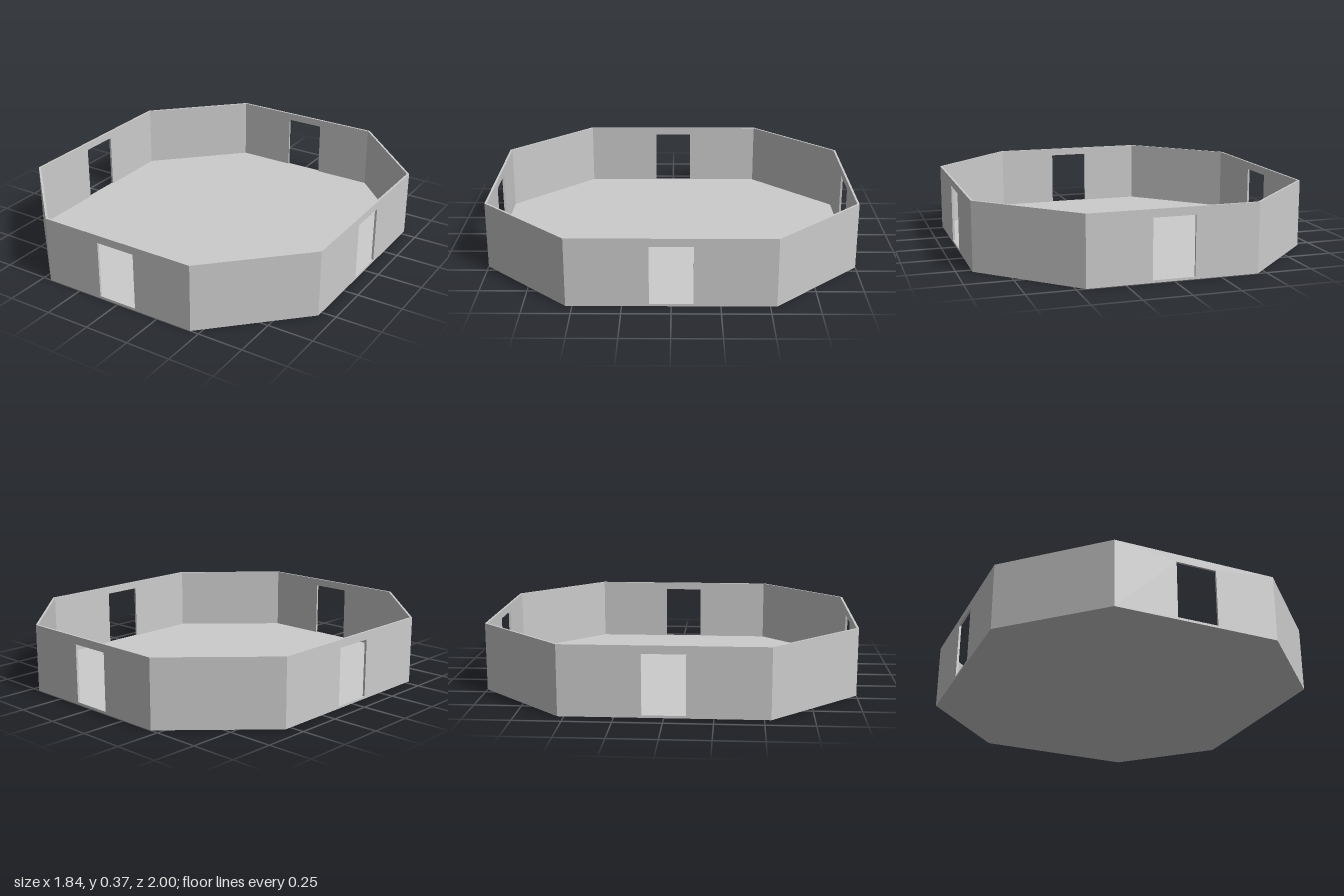
import * as THREE from 'three';

const HEIGHT = 0.37, THICK = 0.012, FLOOR = 0.013;
const HALF_X = 0.918, HALF_Z = 1, CORNER_X = 0.452, CORNER_Z = 0.534;
const DOOR_HALF = 0.112, DOOR_TOP = 0.327;
const MITRE = THICK * Math.tan(Math.PI / 8);

const material = new THREE.MeshStandardMaterial({ color: 0xcccccc, flatShading: true });

// Flat wall panel, outer face at z = 0, ends mitred to meet the neighbouring walls
function wallGeometry(length, hasDoor) {
  const h = length / 2;
  const shape = new THREE.Shape([[-h, 0], [h, 0], [h, HEIGHT], [-h, HEIGHT]].map(p => new THREE.Vector2(...p)));
  if (hasDoor) {
    const d = DOOR_HALF;
    shape.holes.push(new THREE.Path(
      [[-d, FLOOR], [-d, DOOR_TOP], [d, DOOR_TOP], [d, FLOOR]].map(p => new THREE.Vector2(...p))));
  }
  const geo = new THREE.ExtrudeGeometry(shape, { depth: THICK, bevelEnabled: false });
  geo.translate(0, 0, -THICK);
  const pos = geo.attributes.position;
  for (let i = 0; i < pos.count; i++) {
    const x = pos.getX(i);
    if (pos.getZ(i) < -THICK / 2 && Math.abs(x) > h - 1e-4) pos.setX(i, x - Math.sign(x) * MITRE);
  }
  geo.computeVertexNormals();
  return geo;
}

export function createModel() {
  const model = new THREE.Group();
  model.name = 'octagonalRoom';

  // Outline corners, (x, z), running from the front wall round by the left
  const corners = [
    [-CORNER_X, HALF_Z], [CORNER_X, HALF_Z], [HALF_X, CORNER_Z], [HALF_X, -CORNER_Z],
    [CORNER_X, -HALF_Z], [-CORNER_X, -HALF_Z], [-HALF_X, -CORNER_Z], [-HALF_X, CORNER_Z],
  ];
  const names = ['frontDoorWall', 'frontLeftWall', 'leftDoorWall', 'backLeftWall',
    'backDoorWall', 'backRightWall', 'rightDoorWall', 'frontRightWall'];

  // Walls, every second one with a doorway
  names.forEach((name, i) => {
    const [ax, az] = corners[i], [bx, bz] = corners[(i + 1) % 8];
    const wall = new THREE.Mesh(wallGeometry(Math.hypot(bx - ax, bz - az), i % 2 === 0), material);
    wall.name = name;
    wall.position.set((ax + bx) / 2, 0, (az + bz) / 2);
    wall.rotation.y = Math.atan2(az - bz, bx - ax);
    model.add(wall);
  });

  // Floor slab fitted inside the walls
  const inset = corners.map(([x, z]) => {
    const onFront = Math.abs(z) === HALF_Z;
    return new THREE.Vector2(
      x - Math.sign(x) * (onFront ? MITRE : THICK),
      -(z - Math.sign(z) * (onFront ? THICK : MITRE)));
  });
  const floorGeo = new THREE.ExtrudeGeometry(new THREE.Shape(inset), { depth: FLOOR, bevelEnabled: false });
  floorGeo.rotateX(-Math.PI / 2);
  const floor = new THREE.Mesh(floorGeo, material);
  floor.name = 'floor';
  model.add(floor);

  return model;
}
